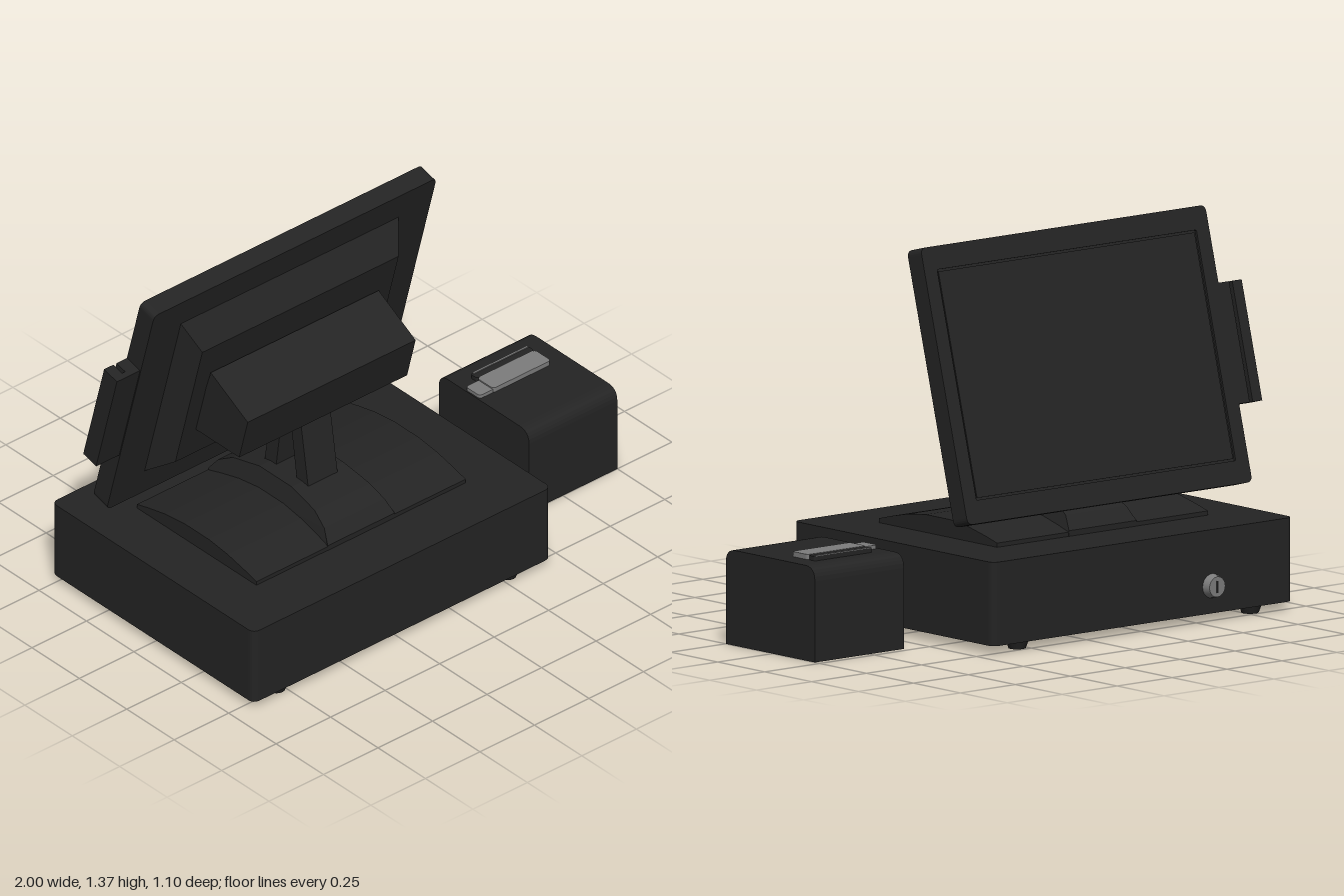
import * as THREE from 'three';

const body = new THREE.MeshStandardMaterial({ color: 0x242424 });
body.name = 'charcoal plastic';
const metal = new THREE.MeshStandardMaterial({ color: 0x7c7c7c });
metal.name = 'grey metal';

function add(parent, name, geometry, material, x = 0, y = 0, z = 0) {
  const mesh = new THREE.Mesh(geometry, material);
  mesh.name = name;
  mesh.position.set(x, y, z);
  parent.add(mesh);
  return mesh;
}

// Rounded rectangle centred on the origin
function roundRect(w, h, r, Type = THREE.Shape) {
  const s = new Type(), a = w / 2, b = h / 2;
  s.moveTo(-a + r, -b);
  s.lineTo(a - r, -b).quadraticCurveTo(a, -b, a, -b + r);
  s.lineTo(a, b - r).quadraticCurveTo(a, b, a - r, b);
  s.lineTo(-a + r, b).quadraticCurveTo(-a, b, -a, b - r);
  s.lineTo(-a, -b + r).quadraticCurveTo(-a, -b, -a + r, -b);
  return s;
}

// Centred extrusion along z
function slab(shape, depth) {
  return new THREE.ExtrudeGeometry(shape, { depth, bevelEnabled: false, curveSegments: 6 })
    .translate(0, 0, -depth / 2);
}

// Side profile of [z, y] points, extruded along x
function profile(points, width) {
  const shape = new THREE.Shape(points.map(([z, y]) => new THREE.Vector2(z, y)));
  return slab(shape, width).rotateY(-Math.PI / 2);
}

// Rewrites each vertex by a rule
function reshape(geometry, rule) {
  const p = geometry.attributes.position, v = new THREE.Vector3();
  for (let i = 0; i < p.count; i++) {
    rule(v.fromBufferAttribute(p, i));
    p.setXYZ(i, v.x, v.y, v.z);
  }
  geometry.computeVertexNormals();
  return geometry;
}

const CX = -0.245; // centre line of the terminal

function makeDrawer() {
  const g = new THREE.Group();
  g.name = 'cashDrawer';
  add(g, 'drawerBox', slab(roundRect(1.365, 1.065, 0.03), 0.295).rotateX(-Math.PI / 2),
    body, -0.2425, 0.1775, 0.0125);
  for (const x of [-0.775, 0.285]) for (const z of [-0.465, 0.495]) {
    add(g, 'foot', new THREE.CylinderGeometry(0.042, 0.03, 0.032, 16), body, x, 0.016, z);
  }
  // Lock on the drawer face, with its key slot
  add(g, 'lockBarrel', new THREE.CylinderGeometry(0.036, 0.043, 0.03, 20).rotateX(-Math.PI / 2),
    metal, -0.555, 0.127, -0.534);
  add(g, 'keySlot', new THREE.BoxGeometry(0.008, 0.042, 0.003), body, -0.555, 0.127, -0.549);
  return g;
}

function makeStand() {
  const g = new THREE.Group();
  g.name = 'stand';
  add(g, 'lowDome', profile([[0.33, 0.32], [0.33, 0.34], [0.27, 0.356], [0.18, 0.376], [0.08, 0.388],
    [-0.05, 0.388], [-0.15, 0.376], [-0.24, 0.356], [-0.3, 0.34], [-0.3, 0.32]], 0.96), body, CX);
  // Central hump, narrower towards its top
  const hump = profile([[0.331, 0.32], [0.331, 0.345], [0.295, 0.393], [0.23, 0.43], [0.1, 0.457],
    [-0.07, 0.457], [-0.2, 0.43], [-0.265, 0.393], [-0.301, 0.345], [-0.301, 0.32]], 0.31);
  reshape(hump, v => { v.x *= 1 - 0.24 * THREE.MathUtils.clamp((v.y - 0.34) / 0.117, 0, 1); });
  add(g, 'centralHump', hump, body, CX);
  // Two converging legs
  add(g, 'frontLeg', profile([[0.13, 0.44], [0.085, 0.73], [0.03, 0.73], [0.07, 0.44]], 0.135), body, CX);
  add(g, 'rearLeg', profile([[-0.102, 0.44], [-0.042, 0.44], [-0.002, 0.73], [-0.057, 0.73]], 0.135), body, CX);
  add(g, 'mountBox', profile([[-0.02, 0.993], [0.175, 0.885], [0.13, 0.715], [-0.11, 0.715]], 0.77), body, CX);
  return g;
}

function makeMonitor() {
  const g = new THREE.Group();
  g.name = 'monitor';
  g.position.set(CX, 0.888, -0.178);
  g.rotation.x = THREE.MathUtils.degToRad(15);
  add(g, 'monitorShell', slab(roundRect(1.295, 0.973, 0.025), 0.066), body, 0, 0, 0.0045);
  // Bezel standing proud of the display
  const frame = roundRect(1.295, 0.973, 0.025);
  frame.holes.push(roundRect(1.18, 0.81, 0.005, THREE.Path));
  add(g, 'bezel', slab(frame, 0.009), body, 0, 0, -0.033);
  add(g, 'display', new THREE.BoxGeometry(1.165, 0.795, 0.005), body, 0, 0, -0.031);
  // Tapered housing on the other side
  const housing = reshape(new THREE.BoxGeometry(1, 0.742, 0.085), v => {
    if (v.z > 0) { v.x *= 0.9; v.y *= 0.742; }
  });
  add(g, 'housing', housing, body, 0, 0, 0.079);
  // Card reader: a channel section with an open swipe slot
  const channel = new THREE.Shape([[-0.053, -0.035], [0.053, -0.035], [0.053, 0.035], [0.004, 0.035],
    [0.004, -0.012], [-0.01, -0.012], [-0.01, 0.035], [-0.053, 0.035]]
    .map(([x, y]) => new THREE.Vector2(x * 1, y)));
  add(g, 'cardReader', slab(channel, 0.425).rotateX(-Math.PI / 2), body, -0.702, 0, 0);
  return g;
}

function makePrinter() {
  const g = new THREE.Group();
  g.name = 'receiptPrinter';
  // Box with rounded front and rear top edges
  const s = new THREE.Shape();
  s.moveTo(-0.225, 0);
  s.lineTo(0.25, 0).lineTo(0.25, 0.285).quadraticCurveTo(0.25, 0.335, 0.2, 0.335);
  s.lineTo(-0.175, 0.335).quadraticCurveTo(-0.225, 0.335, -0.225, 0.285);
  add(g, 'printerCase', slab(s, 0.405).rotateY(-Math.PI / 2), body, 0.7975, 0, 0);
  // Paper exit with its tear bar and release tab
  add(g, 'tearBar', slab(roundRect(0.265, 0.085, 0.015), 0.02).rotateX(-Math.PI / 2),
    metal, 0.792, 0.343, -0.0555);
  add(g, 'releaseTab', slab(roundRect(0.07, 0.075, 0.015), 0.016).rotateX(-Math.PI / 2),
    metal, 0.635, 0.34, -0.053);
  add(g, 'slotFrame', slab(roundRect(0.262, 0.036, 0.012), 0.016).rotateX(-Math.PI / 2),
    body, 0.792, 0.343, -0.117);
  add(g, 'slotEdge', new THREE.BoxGeometry(0.25, 0.004, 0.008), metal, 0.795, 0.352, -0.131);
  return g;
}

export function createModel() {
  const model = new THREE.Group();
  model.name = 'pointOfSaleTerminal';
  model.add(makeDrawer(), makeStand(), makeMonitor(), makePrinter());
  // The swipe slot opens away from the stand
  const reader = model.getObjectByName('cardReader');
  reader.rotation.y = 0;
  return model;
}
